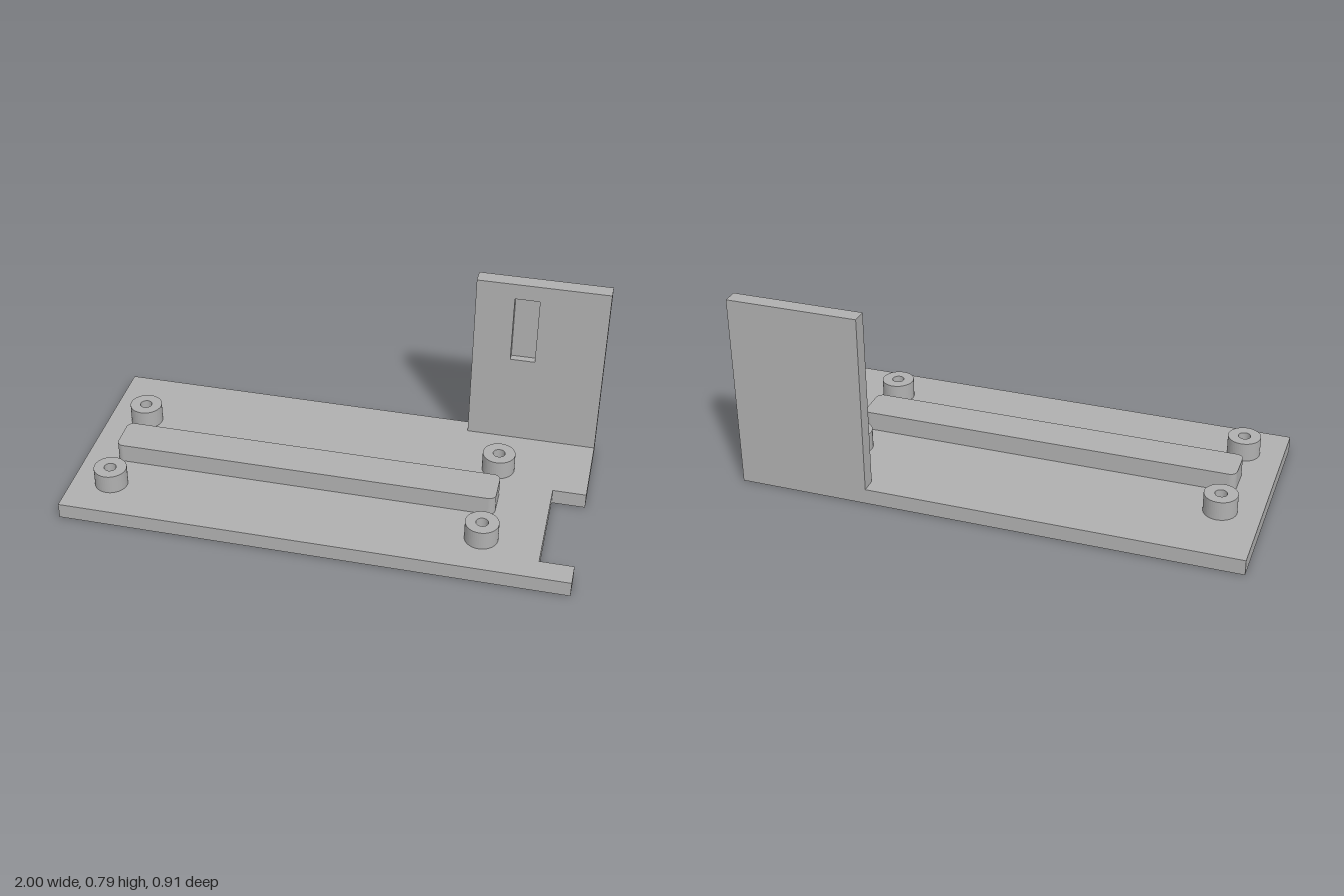
import * as THREE from 'three';

const T = 0.0625; // sheet thickness of base and upright
const TOP = 0.14; // top of the rib and posts
const BACK = -0.453;

function polygon(points) {
  return new THREE.Shape(points.map(([x, y]) => new THREE.Vector2(x, y)));
}

function rectangle(x0, y0, x1, y1) {
  return polygon([[x0, y0], [x1, y0], [x1, y1], [x0, y1]]);
}

// Extrude a plan drawn in (x, -z) upwards from y0 to y1
function extrudeUp(shape, y0, y1, curveSegments = 12) {
  const g = new THREE.ExtrudeGeometry(shape, { depth: y1 - y0, bevelEnabled: false, curveSegments });
  return g.rotateX(-Math.PI / 2).translate(0, y0, 0);
}

function roundedRectangle(x0, y0, x1, y1, r) {
  const s = new THREE.Shape();
  s.absarc(x1 - r, y0 + r, r, -Math.PI / 2, 0);
  s.absarc(x1 - r, y1 - r, r, 0, Math.PI / 2);
  s.absarc(x0 + r, y1 - r, r, Math.PI / 2, Math.PI);
  s.absarc(x0 + r, y0 + r, r, Math.PI, Math.PI * 1.5);
  s.closePath();
  return s;
}

export function createModel() {
  const model = new THREE.Group();
  model.name = 'mountingBracket';
  const grey = new THREE.MeshStandardMaterial({ color: 0xb0b0b0 });
  grey.name = 'plain grey';

  const add = (name, geometry, parent = model) => {
    const mesh = new THREE.Mesh(geometry, grey);
    mesh.name = name;
    parent.add(mesh);
    return mesh;
  };

  // Base plate with a notch in its left end
  add('basePlate', extrudeUp(polygon([
    [-1, BACK], [1, BACK], [1, -0.358], [0.868, -0.358],
    [0.868, 0.075], [1, 0.075], [1, -BACK], [-1, -BACK],
  ]), 0, T));

  // Long raised rib with rounded corners
  add('rib', extrudeUp(roundedRectangle(-0.87, -0.13, 0.665, 0.025, 0.028), T, TOP));

  // Four hollow posts, turned from one profile
  const R = 0.065, r = 0.024;
  const outer = new THREE.Shape().absarc(0, 0, R, 0, Math.PI * 2);
  outer.holes.push(new THREE.Path().absarc(0, 0, r, 0, Math.PI * 2, true));
  const postGeometry = extrudeUp(outer, T, TOP, 24);
  const posts = new THREE.Group();
  posts.name = 'posts';
  model.add(posts);
  for (const x of [-0.843, 0.637]) {
    for (const z of [-0.165, 0.275]) {
      add('post', postGeometry, posts).position.set(x, 0, z);
    }
  }

  // Upright plate: solid back layer and a front layer cut by the slot
  const upright = new THREE.Group();
  upright.name = 'upright';
  model.add(upright);
  const slotDepth = 0.03;
  const layer = (name, shape, z, depth) => add(name,
    new THREE.ExtrudeGeometry(shape, { depth, bevelEnabled: false }).translate(0, 0, z), upright);
  layer('uprightBack', rectangle(0.477, T, 1, 0.79), BACK, T - slotDepth);
  const front = rectangle(0.477, T, 1, 0.79);
  front.holes.push(rectangle(0.63, 0.443, 0.728, 0.725));
  layer('uprightFront', front, BACK + T - slotDepth, slotDepth);

  return model;
}
